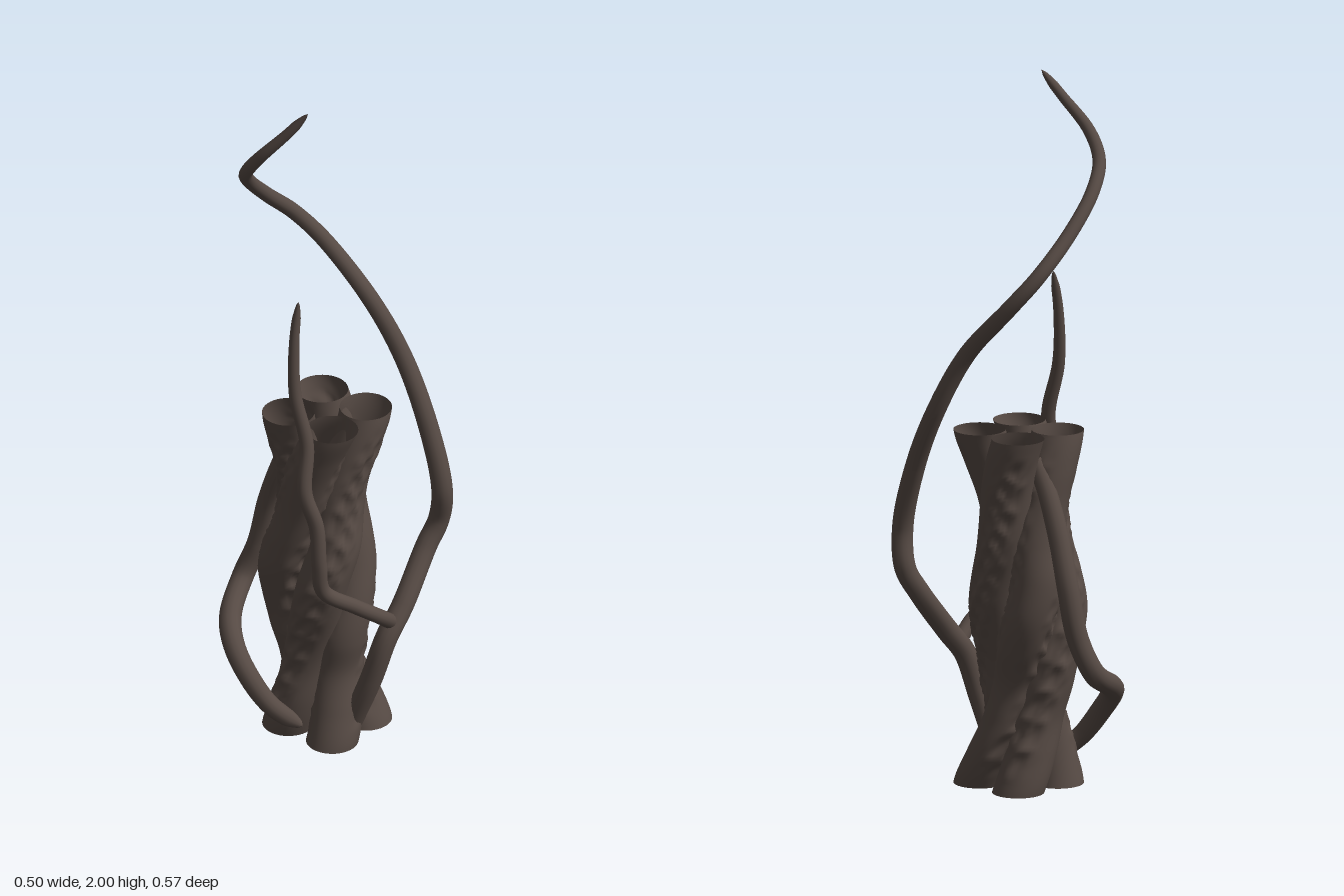
import * as THREE from 'three';

const bark = new THREE.MeshStandardMaterial({ color: 0x564a44, side: THREE.DoubleSide });
bark.name = 'dark bark';

const spline = pairs => new THREE.SplineCurve(pairs.map(p => new THREE.Vector2(...p)));

// Bundle axis and half-widths as (x, z), at even heights from foot to top
const axis = spline([
  [-0.02, 0.032], [-0.02, 0.022], [-0.022, 0.012], [-0.031, 0.01], [-0.03, 0.007], [-0.03, 0.005],
  [-0.026, 0.007], [-0.02, 0.01], [-0.02, 0.015], [-0.019, 0.022], [-0.018, 0.03],
]);
const spread = spline([
  [0.107, 0.107], [0.08, 0.08], [0.048, 0.06], [0.038, 0.075], [0.062, 0.09], [0.084, 0.097],
  [0.077, 0.092], [0.07, 0.068], [0.075, 0.064], [0.09, 0.084], [0.107, 0.107],
]);

// One hollow trunk winding half a turn around the bundle's axis
function trunk(index) {
  const geo = new THREE.CylinderGeometry(1, 1, 1, 40, 110, true);
  const pos = geo.attributes.position;
  const start = Math.PI / 4 + index * Math.PI / 2;
  for (let i = 0; i < pos.count; i++) {
    const y = pos.getY(i) + 0.5;
    const px = pos.getX(i), pz = pos.getZ(i);
    const around = Math.atan2(pz, px);
    const turn = start + Math.PI * (1 - y);
    const mid = axis.getPoint(y), wide = spread.getPoint(y);
    // Scalloped bark: gouges gathered along two winding bands, fading at the rims
    const fade = THREE.MathUtils.smoothstep(Math.min(y, 1 - y), 0.02, 0.12);
    const band = Math.max(0, Math.sin(around * 2 + y * 5 + index * 1.7));
    const gouge = Math.abs(Math.sin(around * 4 + y * 23 + index)) *
      Math.abs(Math.sin(y * 38 - around * 3 + 1.5 * Math.sin(around * 2 + index)));
    const r = 0.072 + fade * band * (0.006 - 0.018 * gouge);
    pos.setXYZ(i,
      mid.x + Math.cos(turn) * wide.x + px * r, y,
      mid.y + Math.sin(turn) * wide.y + pz * r);
  }
  geo.computeVertexNormals();
  // Match the normals across the seam
  const n = geo.attributes.normal;
  for (let row = 0; row <= 110; row++) {
    const a = row * 41, b = a + 40;
    const v = new THREE.Vector3(n.getX(a) + n.getX(b), n.getY(a) + n.getY(b), n.getZ(a) + n.getZ(b)).normalize();
    n.setXYZ(a, v.x, v.y, v.z);
    n.setXYZ(b, v.x, v.y, v.z);
  }
  return geo;
}

// Tapering tube along a path; radii are spread evenly over its length, with a rounded far end
function vine(points, radii, segments) {
  const curve = new THREE.CatmullRomCurve3(points.map(p => new THREE.Vector3(...p)), false, 'centripetal');
  const sides = 14;
  const geo = new THREE.TubeGeometry(curve, segments, 1, sides, false);
  const pos = geo.attributes.position;
  const length = curve.getLength();
  const v = new THREE.Vector3();
  for (let i = 0; i < pos.count; i++) {
    const t = Math.floor(i / (sides + 1)) / segments;
    const f = t * (radii.length - 1);
    const k = Math.min(Math.floor(f), radii.length - 2);
    const tip = Math.sqrt(Math.min(1, (1 - t) * length / 0.05));
    const r = THREE.MathUtils.lerp(radii[k], radii[k + 1], f - k) * tip;
    const c = curve.getPointAt(t);
    v.fromBufferAttribute(pos, i).sub(c).multiplyScalar(r).add(c);
    pos.setXYZ(i, v.x, Math.min(v.y, 2), v.z);
  }
  return geo;
}

export function createModel() {
  const model = new THREE.Group();
  model.name = 'twistedTrunks';
  const add = (name, geo) => {
    const mesh = new THREE.Mesh(geo, bark);
    mesh.name = name;
    model.add(mesh);
  };

  for (let i = 0; i < 4; i++) add('trunk' + (i + 1), trunk(i));

  // Long vine: out of the front, up the left side, over the back to the tip
  add('longVine', vine([
    [-0.05, 0.04, 0.135], [-0.035, 0.2, 0.195], [-0.005, 0.33, 0.225], [0.06, 0.41, 0.233],
    [0.175, 0.54, 0.225], [0.213, 0.61, 0.238], [0.207, 0.72, 0.254], [0.214, 0.9, 0.2],
    [0.221, 1.08, 0.11], [0.19, 1.25, 0.02], [0.165, 1.4, -0.12], [0.112, 1.49, -0.178],
    [0, 1.6, -0.192], [-0.1, 1.7, -0.178], [-0.16, 1.77, -0.14], [-0.172, 1.84, -0.088],
    [-0.14, 1.93, -0.015], [-0.11, 2, 0.035],
  ], [0.03, 0.032, 0.031, 0.03, 0.028, 0.026, 0.024, 0.022, 0.02, 0.018, 0.012], 180));

  // Side branch: forks from the long vine and climbs the right side
  add('branchVine', vine([
    [0.03, 0.36, 0.225], [-0.05, 0.425, 0.235], [-0.12, 0.48, 0.205], [-0.2, 0.55, 0.158],
    [-0.215, 0.64, 0.155], [-0.215, 0.76, 0.145], [-0.232, 0.87, 0.118], [-0.2, 1.0, 0.1],
    [-0.2, 1.15, 0.06], [-0.185, 1.3, 0.045], [-0.16, 1.42, 0.04],
  ], [0.022, 0.021, 0.021, 0.021, 0.021, 0.02, 0.018, 0.015, 0.011], 130));

  // Back vine: leaves the bundle high at the back and loops down to the right foot
  add('backVine', vine([
    [-0.005, 0.93, -0.05], [-0.003, 0.84, -0.1], [0.006, 0.72, -0.155], [0.018, 0.6, -0.2],
    [0.008, 0.46, -0.228], [-0.03, 0.36, -0.252], [-0.13, 0.3, -0.217], [-0.19, 0.26, -0.162],
    [-0.213, 0.2, -0.1], [-0.195, 0.11, -0.03], [-0.14, 0.04, 0.04],
  ], [0.026, 0.029, 0.031, 0.031, 0.031, 0.029, 0.024], 100));

  return model;
}
